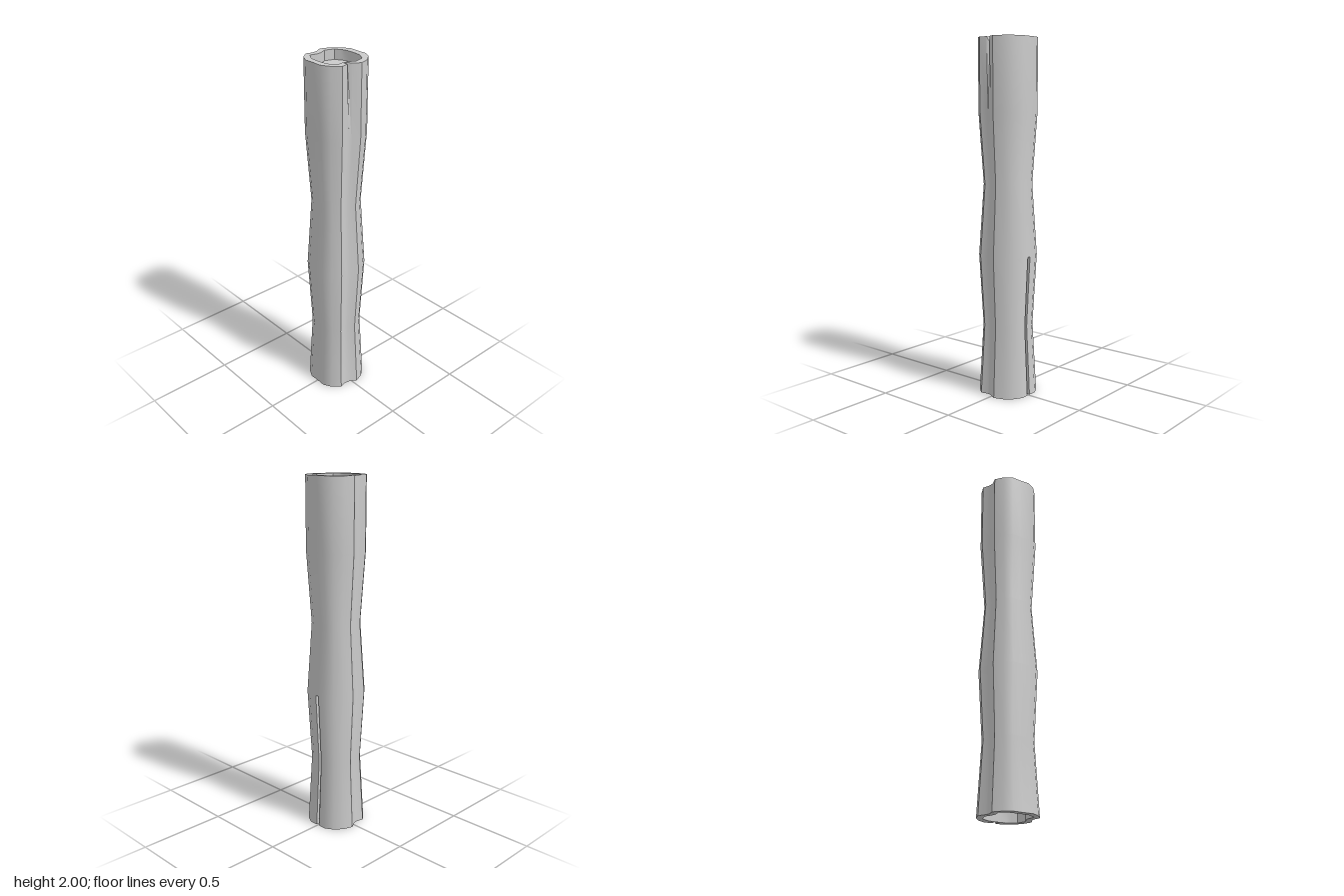
import * as THREE from 'three';
import { toCreasedNormals } from 'three/addons/utils/BufferGeometryUtils.js';

// Half of the cross-section, from +x round the front to -x: [outer x, outer z, inner x, inner z]
const HALF = [
  [0.130, 0.010, 0.112, 0.010], // bottom of the slot
  [0.150, 0.010, 0.112, 0.010], // mouth of the slot
  [0.152, 0.056, 0.107, 0.057],
  [0.125, 0.104, 0.094, 0.080],
  [0.081, 0.141, 0.080, 0.105],
  [0.027, 0.160, 0.027, 0.121],
  [-0.015, 0.136, -0.015, 0.101],
  [-0.030, 0.133, -0.030, 0.098], // valley, notched at the top of the front
  [-0.043, 0.131, -0.043, 0.097],
  [-0.083, 0.141, -0.083, 0.105],
  [-0.127, 0.104, -0.100, 0.080],
  [-0.153, 0.056, -0.113, 0.057],
];
const OUTLINE = [
  ...HALF,
  [-0.151, 0, -0.117, 0],
  ...HALF.map(([a, b, c, d]) => [a, -b, c, -d]).reverse(),
];
const COUNT = OUTLINE.length;
const NOTCH = 7;
const RECESS = 0.055;
const isSlot = (i) => i === 0 || i === COUNT - 1;

const innerRing = (y) => OUTLINE.map(([, , x, z]) => new THREE.Vector3(x, y, z));
const centre = (y) => OUTLINE.map(() => new THREE.Vector3(0, y, 0));

function outerRing(y, scale, slotted) {
  return OUTLINE.map(([x, z], i) => {
    const px = isSlot(i) && !slotted ? OUTLINE[1][0] : x;
    const p = new THREE.Vector3(px * scale, y, z * scale);
    if (y === 0 && isSlot(i)) p.y = 0.03; // the slot cuts up into the lower rim
    if (y === 2 && i === NOTCH) p.set(x, 1.97, 0.118); // small nick in the upper rim
    return p;
  });
}

// Join closed rings into one skin, leaving out collapsed triangles
function loft(rings) {
  const positions = [];
  const tri = new THREE.Triangle();
  const add = (a, b, c) => {
    if (tri.set(a, b, c).getArea() > 1e-9) {
      for (const p of [a, b, c]) positions.push(p.x, p.y, p.z);
    }
  };
  for (let r = 0; r < rings.length - 1; r++) {
    for (let i = 0; i < COUNT; i++) {
      const j = (i + 1) % COUNT;
      const low = rings[r], high = rings[r + 1];
      add(low[i], high[i], high[j]);
      add(low[i], high[j], low[j]);
    }
  }
  const geometry = new THREE.BufferGeometry();
  geometry.setAttribute('position', new THREE.Float32BufferAttribute(positions, 3));
  return toCreasedNormals(geometry, 0.6);
}

export function createModel() {
  const group = new THREE.Group();
  group.name = 'flutedHandle';
  const grey = new THREE.MeshStandardMaterial({ color: 0xcccccc });

  // Lower recess, waisted grip with the slot up to y = 0.8, then upper recess
  const grip = new THREE.Mesh(loft([
    centre(RECESS),
    innerRing(RECESS),
    innerRing(0),
    outerRing(0, 1, true),
    outerRing(0.4, 0.86, true),
    outerRing(0.8, 1, true),
    outerRing(0.8, 1, false),
    outerRing(1.2, 0.83, false),
    outerRing(1.6, 1, false),
    outerRing(2, 1, false),
    innerRing(2),
    innerRing(2 - RECESS),
    centre(2 - RECESS),
  ]), grey);
  grip.name = 'grip';
  group.add(grip);
  return group;
}
